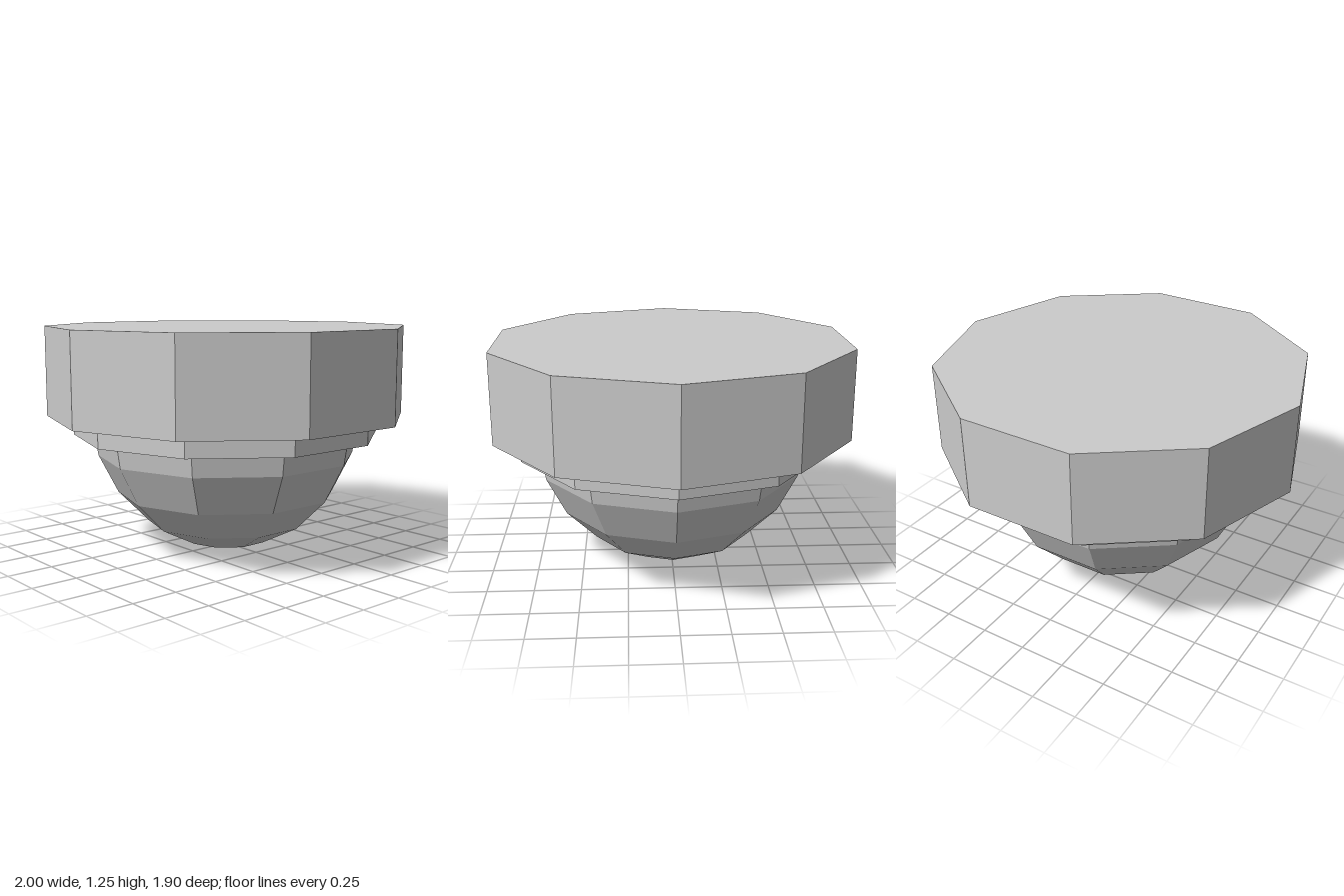
import * as THREE from 'three';

const SIDES = 10;
const material = new THREE.MeshStandardMaterial({ color: 0xcccccc, flatShading: true });

function addPart(group, name, geometry, y) {
  const mesh = new THREE.Mesh(geometry, material);
  mesh.name = name;
  mesh.position.y = y;
  group.add(mesh);
}

// Ten-sided disc with corners on the x axis
function addDisc(group, name, radius, bottom, top) {
  const geometry = new THREE.CylinderGeometry(
    radius, radius, top - bottom, SIDES, 1, false, Math.PI / 2);
  addPart(group, name, geometry, (bottom + top) / 2);
}

export function createModel() {
  const group = new THREE.Group();
  group.name = 'domeFixture';

  // Wide mounting base and the narrower collar below it
  addDisc(group, 'base', 1, 0.754, 1.25);
  addDisc(group, 'collar', 0.855, 0.647, 0.754);

  // Faceted dome: lower half of a sphere, its rim hidden in the collar
  const radius = 0.76;
  const dome = new THREE.SphereGeometry(
    radius, SIDES, 5, 0, Math.PI * 2, Math.PI / 2, Math.PI / 2);
  addPart(group, 'dome', dome, radius + 0.003);

  return group;
}
